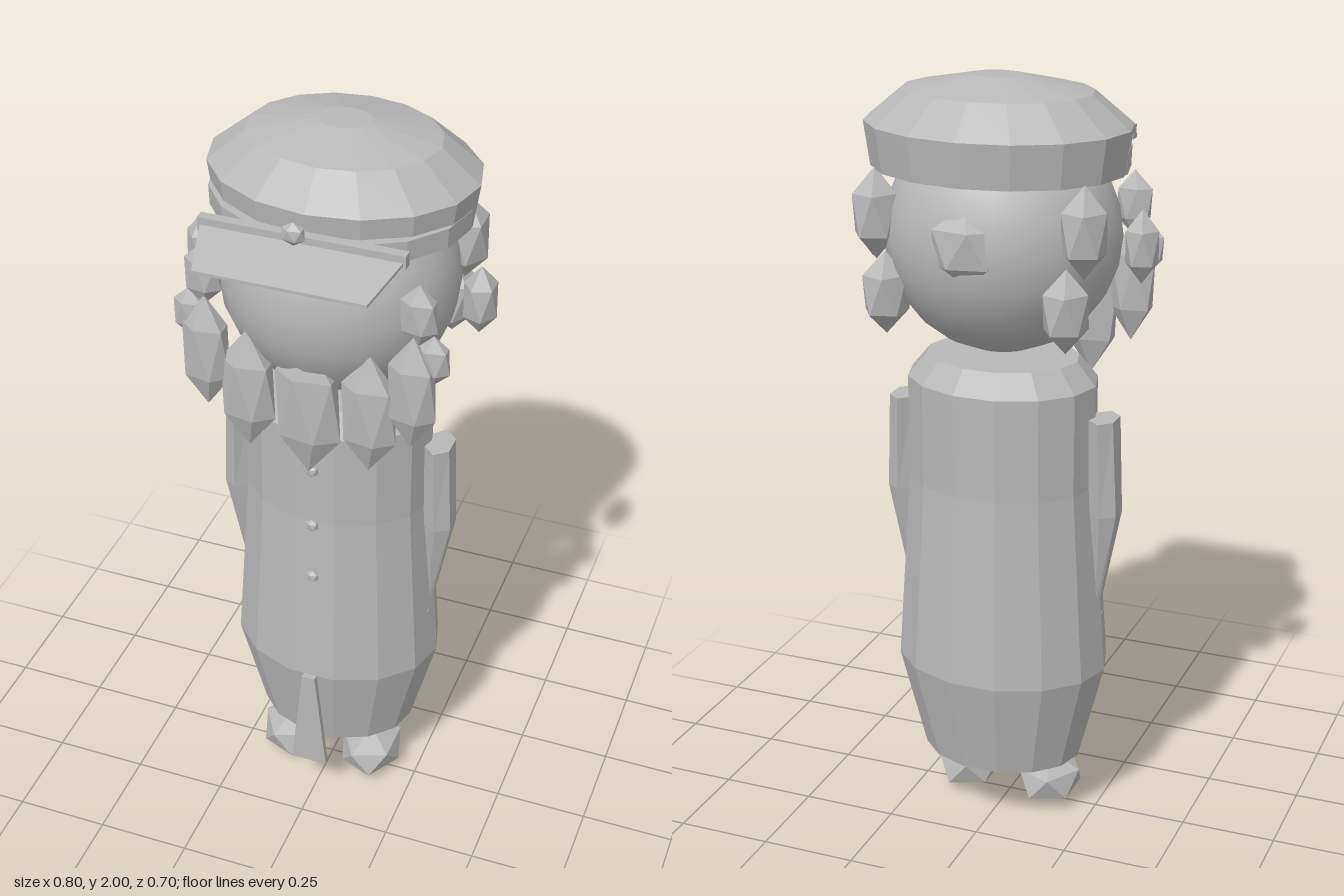
import * as THREE from 'three';

const clay = new THREE.MeshStandardMaterial({ color: 0xb8b8b8 });
clay.name = 'grey clay';

// Faceted copy of a geometry
function flat(geo) {
  const g = geo.index ? geo.toNonIndexed() : geo;
  g.computeVertexNormals();
  return g;
}

// Faceted lump with its points at top and bottom
function lump(rx, ry, rz) {
  const g = new THREE.IcosahedronGeometry(1, 0);
  g.rotateZ(Math.atan(2 / (1 + Math.sqrt(5))));
  g.scale(rx / 0.95, ry, rz / 0.95);
  return flat(g);
}

// Oval faceted turning, profile given as [radius, height]
function turned(profile, sides, depth, phase = 0) {
  const pts = profile.map(([r, y]) => new THREE.Vector2(r, y));
  const g = new THREE.LatheGeometry(pts, sides, phase);
  g.scale(1, 1, depth);
  return flat(g);
}

// Box whose vertices are moved by a rule
function shapedBox(w, h, d, rule) {
  const g = new THREE.BoxGeometry(w, h, d);
  const p = g.attributes.position;
  const v = new THREE.Vector3();
  for (let i = 0; i < p.count; i++) {
    v.fromBufferAttribute(p, i);
    rule(v);
    p.setXYZ(i, v.x, v.y, v.z);
  }
  return flat(g);
}

export function createModel() {
  const model = new THREE.Group();
  model.name = 'figure';

  const add = (name, geo, x = 0, y = 0, z = 0) => {
    const m = new THREE.Mesh(geo, clay);
    m.name = name;
    m.position.set(x, y, z);
    model.add(m);
    return m;
  };
  const addPair = (name, size, x, y, z) => {
    add(name + 'Left', lump(...size), x, y, z);
    add(name + 'Right', lump(...size), -x, y, z);
  };

  // Long coat
  add('coat', turned(
    [[0, 0.18], [0.215, 0.18], [0.285, 0.45], [0.25, 0.96], [0.25, 1.23], [0.2, 1.29], [0, 1.29]],
    14, 0.8, Math.PI / 2), 0, 0, -0.052);

  // Coat front slit and buttons
  add('coatSlit', shapedBox(2, 0.31, 0.016, (v) => {
    v.x *= v.y > 0 ? 0.018 : 0.05;
  }), 0, 0.3, 0.183);
  for (const y of [1.13, 0.955, 0.785]) add('button', lump(0.018, 0.018, 0.012), 0, y, 0.153);

  // Feet
  addPair('foot', [0.088, 0.068, 0.108], 0.118, 0.073, 0);

  // Tapering sleeves, with hands tucked against the coat
  for (const s of [1, -1]) {
    const g = new THREE.CylinderGeometry(1, 1, 0.51, 6, 2);
    const p = g.attributes.position;
    for (let i = 0; i < p.count; i++) {
      const y = p.getY(i);
      const [cx, rx, rz] = y > 0.1 ? [0.273, 0.038, 0.058] : y > -0.1 ? [0.28, 0.042, 0.05] : [0.263, 0.008, 0.016];
      p.setXYZ(i, s * cx + p.getX(i) * rx, y, p.getZ(i) * rz);
    }
    add('sleeve', flat(g), 0, 0.895, -0.049);
    add('hand', lump(0.035, 0.04, 0.03), s * 0.24, 0.59, -0.035);
  }

  // Smooth head
  const head = new THREE.SphereGeometry(1, 24, 12);
  head.scale(0.3, 0.3, 0.285);
  add('head', head, 0, 1.605, -0.05);

  // Beard locks
  add('beardMiddle', lump(0.09, 0.2, 0.04), 0, 1.345, 0.175);
  addPair('beardInner', [0.075, 0.17, 0.038], 0.157, 1.36, 0.175);
  addPair('beardOuter', [0.065, 0.158, 0.038], 0.265, 1.447, 0.175);
  addPair('whisker', [0.045, 0.07, 0.025], 0.31, 1.54, 0.16);
  addPair('templeLock', [0.05, 0.085, 0.028], 0.272, 1.655, 0.16);

  // Hair curls round the sides and back
  addPair('sideCurl', [0.045, 0.093, 0.047], 0.36, 1.6, -0.045);
  addPair('upperBackCurl', [0.06, 0.115, 0.065], 0.27, 1.665, -0.212);
  addPair('lowerBackCurl', [0.06, 0.105, 0.068], 0.235, 1.475, -0.237);
  add('backCurl', lump(0.092, 0.1, 0.055), 0, 1.625, -0.298);

  // Cap crown
  add('cap', turned(
    [[0, 1.775], [0.322, 1.775], [0.338, 1.885], [0.24, 1.965], [0.066, 2.0], [0, 2.0]],
    16, 0.8), 0, 0, -0.08);

  // Cap band set slightly forward
  add('capBand', turned(
    [[0, 1.777], [0.324, 1.777], [0.326, 1.83], [0, 1.83]], 16, 0.83), 0, 0, -0.06);

  // Sloping visor
  add('visor', shapedBox(2, 0.008, 0.165, (v) => {
    const front = v.z > 0;
    v.x *= front ? 0.212 : 0.255;
    v.y += front ? -0.022 : 0.022;
  }), 0, 1.805, 0.272);
  add('visorRoot', new THREE.BoxGeometry(0.51, 0.035, 0.026), 0, 1.825, 0.203);

  // Cap badge
  add('capBadge', lump(0.03, 0.03, 0.018), 0, 1.872, 0.257);

  return model;
}
